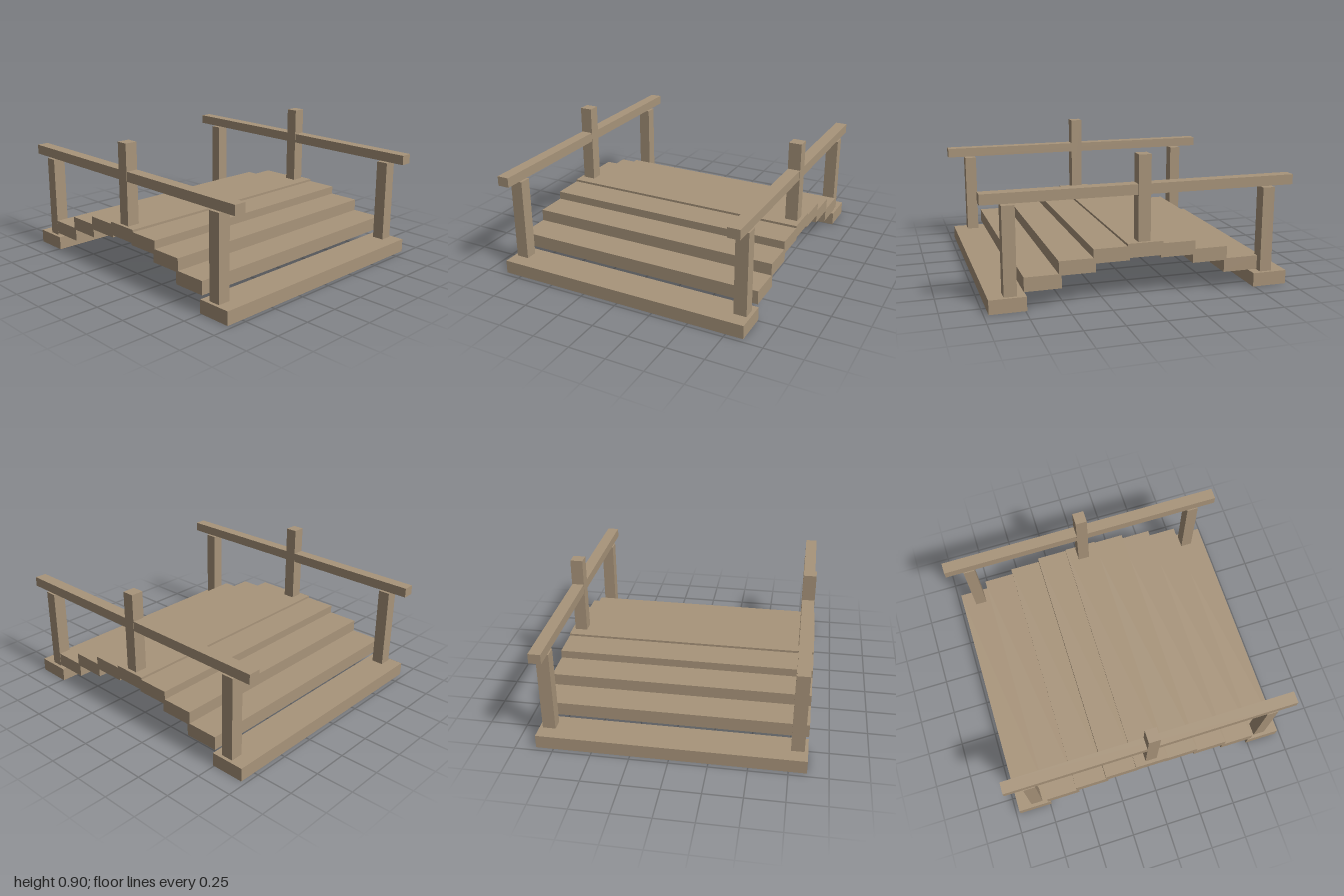
import * as THREE from 'three';

export function createModel() {
  const group = new THREE.Group();
  const wood = new THREE.MeshStandardMaterial({ color: 0xa8947a });
  wood.name = 'weathered wood';

  // Box beam placed by its bottom height
  const beam = (name, w, h, d, x, bottom, z) => {
    const mesh = new THREE.Mesh(new THREE.BoxGeometry(w, h, d), wood);
    mesh.name = name;
    mesh.position.set(x, bottom + h / 2, z);
    group.add(mesh);
  };

  // Arched deck: [distance from the middle, bottom height], mirrored front to back
  const steps = [[0.215, 0.255], [0.43, 0.2], [0.643, 0.12], [0.855, 0]];
  beam('crownPlank', 1.73, 0.09, 0.23, 0, 0.27, 0);
  for (const end of [1, -1]) {
    for (const [z, bottom] of steps) beam('deckPlank', 1.73, 0.09, 0.23, 0, bottom, end * z);
  }

  // Railings on both sides
  for (const side of [1, -1]) {
    const x = side * 0.8;
    beam('handrail', 0.08, 0.065, 2, x, 0.655, 0);
    beam('middlePost', 0.085, 0.54, 0.08, x, 0.36, 0);
    for (const end of [1, -1]) beam('endPost', 0.085, 0.555, 0.08, x, 0.09, end * 0.835);
  }
  return group;
}
